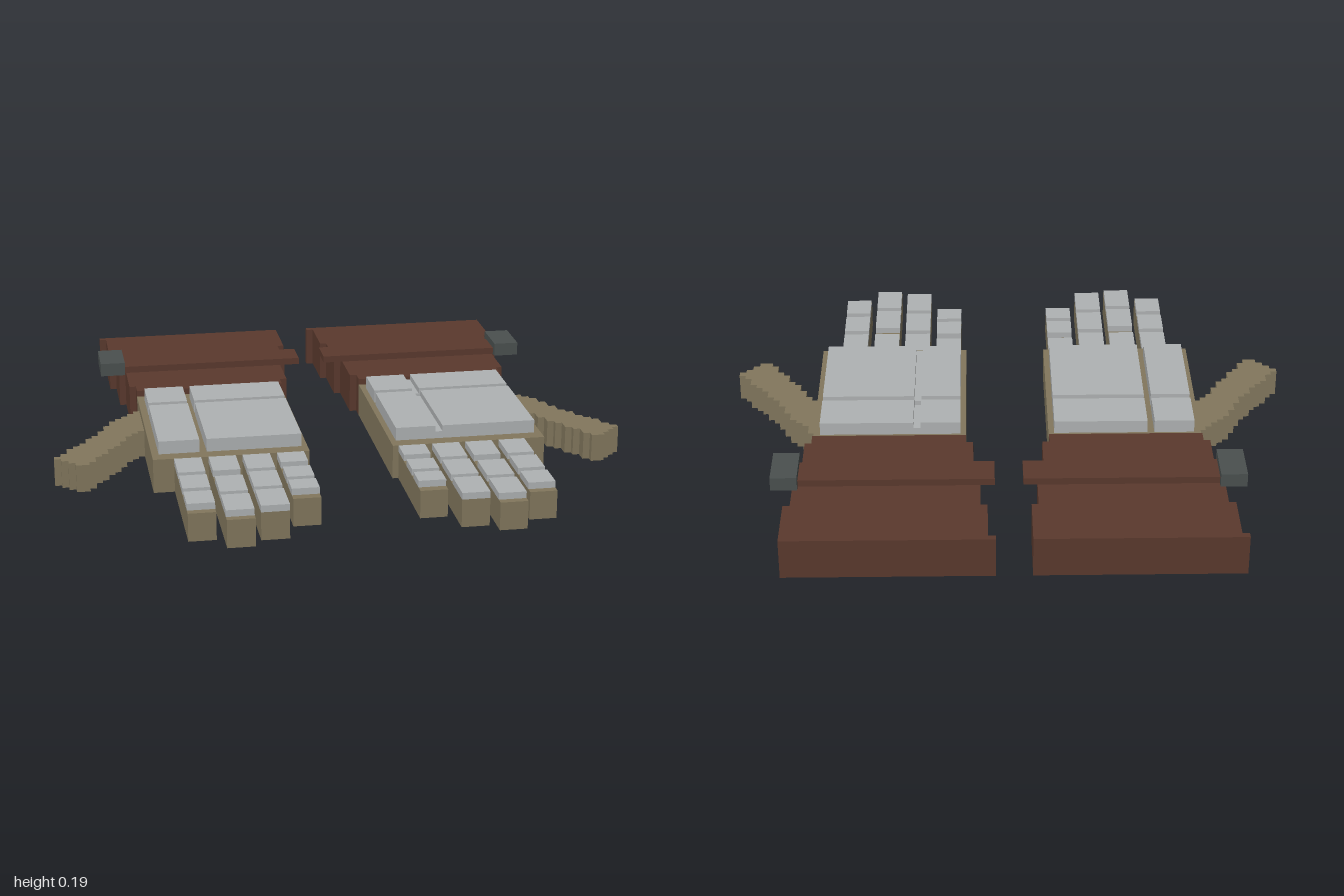
import * as THREE from 'three';

const fabric = new THREE.MeshStandardMaterial({ name: 'tan fabric', color: 0x82775d });
const leather = new THREE.MeshStandardMaterial({ name: 'brown leather', color: 0x5a392d });
const armour = new THREE.MeshStandardMaterial({ name: 'grey plate', color: 0xafb2b3 });
const metal = new THREE.MeshStandardMaterial({ name: 'dark buckle', color: 0x4a504f });

const FINGER_TOP = 0.097, PALM_TOP = 0.12, CUFF_TOP = 0.142, PLATE_TOP = 0.166;

// Each finger: inner and outer x, tip z, then [start, end] of its plates along z
const FINGERS = [
  { x: [-0.6, -0.508], tip: 0.84, plates: [[0.4, 0.533], [0.56, 0.677], [0.705, 0.813]] },
  { x: [-0.483, -0.39], tip: 0.913, plates: [[0.4, 0.533], [0.583, 0.725], [0.75, 0.887]] },
  { x: [-0.367, -0.273], tip: 0.867, plates: [[0.4, 0.533], [0.56, 0.7], [0.725, 0.867]] },
  { x: [-0.248, -0.155], tip: 0.77, plates: [[0.4, 0.492], [0.535, 0.63], [0.655, 0.738]] },
];

// Stepped cuff sections: x range and z range
const CUFF = [
  [-0.672, -0.135, -0.31, -0.26],
  [-0.695, -0.11, -0.52, -0.31],
  [-0.718, -0.086, -0.71, -0.52],
  [-0.742, -0.063, -0.92, -0.71],
];

// Thumb slices from the palm outwards: z range of each
const THUMB = [
  [-0.165, 0.045], [-0.14, 0.068], [-0.115, 0.093], [-0.093, 0.14], [-0.07, 0.185],
  [-0.025, 0.208], [0.025, 0.255], [0.07, 0.278], [0.094, 0.325], [0.138, 0.35],
  [0.163, 0.35], [0.186, 0.325], [0.232, 0.302], [0.256, 0.28],
];

function createGlove(name, mirrored) {
  const glove = new THREE.Group();
  glove.name = name;

  // Box from ranges, flipped across the centre for the second glove
  const box = (part, mat, [x0, x1], [y0, y1], [z0, z1]) => {
    const mesh = new THREE.Mesh(new THREE.BoxGeometry(x1 - x0, y1 - y0, z1 - z0), mat);
    const x = (x0 + x1) / 2;
    mesh.position.set(mirrored ? 0.02 - x : x, (y0 + y1) / 2, (z0 + z1) / 2);
    mesh.name = part;
    glove.add(mesh);
  };

  box('palm', fabric, [-0.672, -0.135], [0, PALM_TOP], [-0.26, 0.4]);

  // Fingers with knuckle plates
  for (const { x, tip, plates } of FINGERS) {
    box('finger', fabric, x, [0, FINGER_TOP], [0.4, tip]);
    for (const z of plates) box('fingerPlate', armour, x, [FINGER_TOP, PALM_TOP], z);
  }

  // Thumb as a staircase of slices
  const step = 0.0234;
  const slices = mirrored ? [[-0.165, 0.068], ...THUMB.slice(2)] : THUMB;
  slices.forEach((z, i) => {
    const x = -0.672 - i * step;
    box('thumb', fabric, [x - step, x], [0, FINGER_TOP], z);
  });

  // Back-of-hand plates: split on one glove, grooved on the other
  for (const z of [[-0.215, -0.053], [-0.027, 0.35]]) {
    if (mirrored) {
      box('handPlateBase', armour, [-0.648, -0.155], [PALM_TOP, 0.145], z);
      box('handPlateTop', armour, [-0.648, -0.32], [0.145, PLATE_TOP], z);
      box('handPlateTop', armour, [-0.295, -0.155], [0.145, PLATE_TOP], z);
    } else {
      box('handPlate', armour, [-0.648, -0.508], [PALM_TOP, PLATE_TOP], z);
      box('handPlate', armour, [-0.483, -0.155], [PALM_TOP, PLATE_TOP], z);
    }
  }

  // Flared cuff, end lip, strap and buckle
  for (const [x0, x1, z0, z1] of CUFF) box('cuff', leather, [x0, x1], [0, CUFF_TOP], [z0, z1]);
  const lip = mirrored ? [-0.063, -0.038] : [-0.766, -0.742];
  box('cuffLip', leather, lip, [0, CUFF_TOP], [-0.92, -0.897]);
  box('strap', leather, [-0.7, -0.038], [CUFF_TOP, PLATE_TOP], [-0.59, -0.475]);
  box('buckle', metal, [-0.79, -0.7], [CUFF_TOP, 0.19], [-0.613, -0.45]);
  return glove;
}

export function createModel() {
  const model = new THREE.Group();
  model.name = 'gloves';
  model.add(createGlove('rightGlove', false), createGlove('leftGlove', true));
  return model;
}
